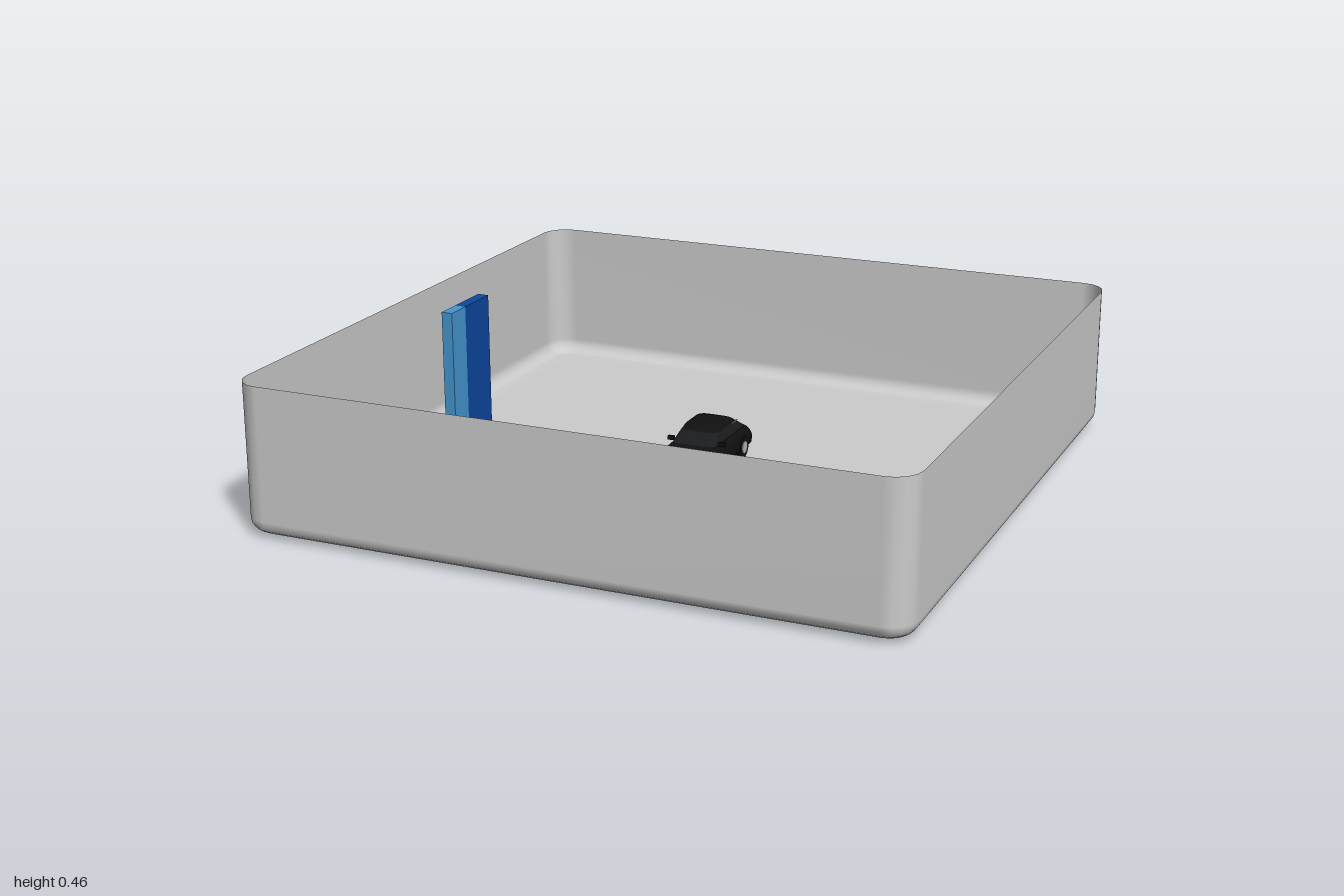
import * as THREE from 'three';

const mat = (name, color, side = THREE.FrontSide) => {
  const m = new THREE.MeshStandardMaterial({ color, side });
  m.name = name;
  return m;
};

// Rounded rectangle in the xz plane at height y
function ring(hw, z0, z1, r, y, seg = 4) {
  const pts = [];
  const corners = [[1, z1], [-1, z1], [-1, z0], [1, z0]];
  corners.forEach(([sx, z], k) => {
    const cx = sx * (hw - r), cz = z === z1 ? z1 - r : z0 + r;
    for (let i = 0; i <= seg; i++) {
      const a = (k + i / seg) * Math.PI / 2;
      pts.push([cx + r * Math.cos(a), y, cz + r * Math.sin(a)]);
    }
  });
  return pts;
}

// Skin over rings listed from bottom to top, with optional caps
function loft(rings, capBottom, capTop) {
  const n = rings[0].length, pos = rings.flat(2), idx = [];
  for (let i = 0; i < rings.length - 1; i++) {
    for (let j = 0; j < n; j++) {
      const a = i * n + j, b = i * n + (j + 1) % n;
      idx.push(a, a + n, b, b, a + n, b + n);
    }
  }
  const cap = (row, up) => {
    const c = pos.length / 3, p = rings[row];
    pos.push(0, p[0][1], p.reduce((s, q) => s + q[2], 0) / n);
    for (let j = 0; j < n; j++) {
      const a = row * n + j, b = row * n + (j + 1) % n;
      if (up) idx.push(c, b, a); else idx.push(c, a, b);
    }
  };
  if (capBottom) cap(0, false);
  if (capTop) cap(rings.length - 1, true);
  const g = new THREE.BufferGeometry();
  g.setAttribute('position', new THREE.Float32BufferAttribute(pos, 3));
  g.setIndex(idx);
  g.computeVertexNormals();
  return g;
}

export function createModel() {
  const gray = mat('tray gray', 0xcccccc, THREE.DoubleSide);
  const navy = mat('dark blue', 0x0d47a1);
  const sky = mat('light blue', 0x4596d0);
  const black = mat('car black', 0x111111);
  const glass = mat('tinted glass', 0x1a1c1f);
  const silver = mat('silver', 0xb8b8b8);

  const model = new THREE.Group();
  model.name = 'trayWithCar';
  const add = (parent, name, geo, material, x = 0, y = 0, z = 0) => {
    const m = new THREE.Mesh(geo, material);
    m.name = name;
    m.position.set(x, y, z);
    parent.add(m);
    return m;
  };
  const box = (parent, name, material, w, h, d, x, y, z) =>
    add(parent, name, new THREE.BoxGeometry(w, h, d), material, x, y, z);

  // Open tray: thin wall with a rounded foot
  const tray = [ring(0.9, -0.9, 0.9, 0.04, 0.01)];
  for (let i = 0; i <= 4; i++) {
    const a = i / 4 * Math.PI / 2, h = 0.955 + 0.045 * Math.sin(a);
    tray.push(ring(h, -h, h, 0.04 + 0.04 * Math.sin(a), 0.055 - 0.045 * Math.cos(a)));
  }
  tray.push(ring(1, -1, 1, 0.08, 0.46));
  add(model, 'tray', loft(tray, true, false), gray);

  // Two-tone strip running through the floor, with upright plates in its slots
  const lanes = [['dark', navy, -0.12, 0.03], ['light', sky, 0.03, 0.115]];
  const plates = [[-0.81, 0.455], [0.81, 0.13]];
  for (const [name, material, z0, z1] of lanes) {
    const depth = z1 - z0, zc = (z0 + z1) / 2;
    box(model, name + 'Strip', material, 1.58, 0.022, depth, 0, 0.011, zc);
    for (const s of [-1, 1]) {
      const shape = new THREE.Shape();
      shape.moveTo(s * 0.83, 0);
      shape.lineTo(s * 0.97, 0);
      shape.lineTo(s * 0.97, 0.016);
      shape.quadraticCurveTo(s * 0.94, 0.022, s * 0.9, 0.022);
      shape.lineTo(s * 0.83, 0.022);
      const end = new THREE.ExtrudeGeometry(shape, { depth, bevelEnabled: false, curveSegments: 5 });
      add(model, name + 'StripEnd', end, material, 0, 0, z0);
    }
    for (const [x, top] of plates) {
      box(model, name + 'Plate', material, 0.036, top - 0.012, depth, x, (top + 0.012) / 2, zc);
    }
  }

  // Car, nose towards +z
  const car = new THREE.Group();
  car.name = 'car';
  car.position.y = 0.022;
  model.add(car);

  const body = loft([
    ring(0.072, -0.215, 0.21, 0.03, 0.018),
    ring(0.083, -0.233, 0.228, 0.035, 0.03),
    ring(0.085, -0.235, 0.23, 0.035, 0.05),
    ring(0.083, -0.23, 0.222, 0.04, 0.068),
    ring(0.078, -0.218, 0.19, 0.045, 0.082),
    ring(0.072, -0.2, 0.1, 0.04, 0.092),
  ], true, true);
  add(car, 'carBody', body, black);

  const cabin = (o, y) => {
    const t = (y - 0.085) / 0.045;
    return ring(0.074 - 0.015 * t + o, -0.2 + 0.07 * t - o, 0.085 - 0.07 * t + o, 0.025, y);
  };
  add(car, 'cabin', loft([
    cabin(0, 0.085), cabin(0, 0.13),
    ring(0.054, -0.115, 0.002, 0.025, 0.137),
    ring(0.042, -0.095, -0.02, 0.02, 0.141),
  ], false, true), black);
  add(car, 'windowBand', loft([cabin(0.001, 0.096), cabin(0.001, 0.125)], false, false), glass);

  const wheel = new THREE.CylinderGeometry(0.034, 0.034, 0.024, 20).rotateZ(Math.PI / 2);
  const hub = new THREE.CylinderGeometry(0.02, 0.02, 0.004, 16).rotateZ(Math.PI / 2);
  const lamp = new THREE.SphereGeometry(0.011, 12, 8);
  for (const s of [-1, 1]) {
    for (const z of [-0.14, 0.145]) {
      add(car, 'wheel', wheel, black, s * 0.074, 0.034, z);
      add(car, 'wheelHub', hub, silver, s * 0.0865, 0.034, z);
    }
    box(car, 'mirror', black, 0.02, 0.012, 0.012, s * 0.084, 0.098, 0.035);
    box(car, 'windowTrim', silver, 0.002, 0.002, 0.045, s * 0.0625, 0.123, -0.115);
    add(car, 'headlight', lamp, silver, s * 0.056, 0.058, 0.216).scale.z = 0.6;
    box(car, 'tailTrim', silver, 0.02, 0.004, 0.004, s * 0.035, 0.055, -0.234);
  }
  box(car, 'frontBumper', black, 0.13, 0.012, 0.008, 0, 0.032, 0.227);
  box(car, 'rearBumper', black, 0.13, 0.012, 0.008, 0, 0.032, -0.231);
  box(car, 'grilleTrim', silver, 0.05, 0.003, 0.004, 0, 0.044, 0.23);

  return model;
}
